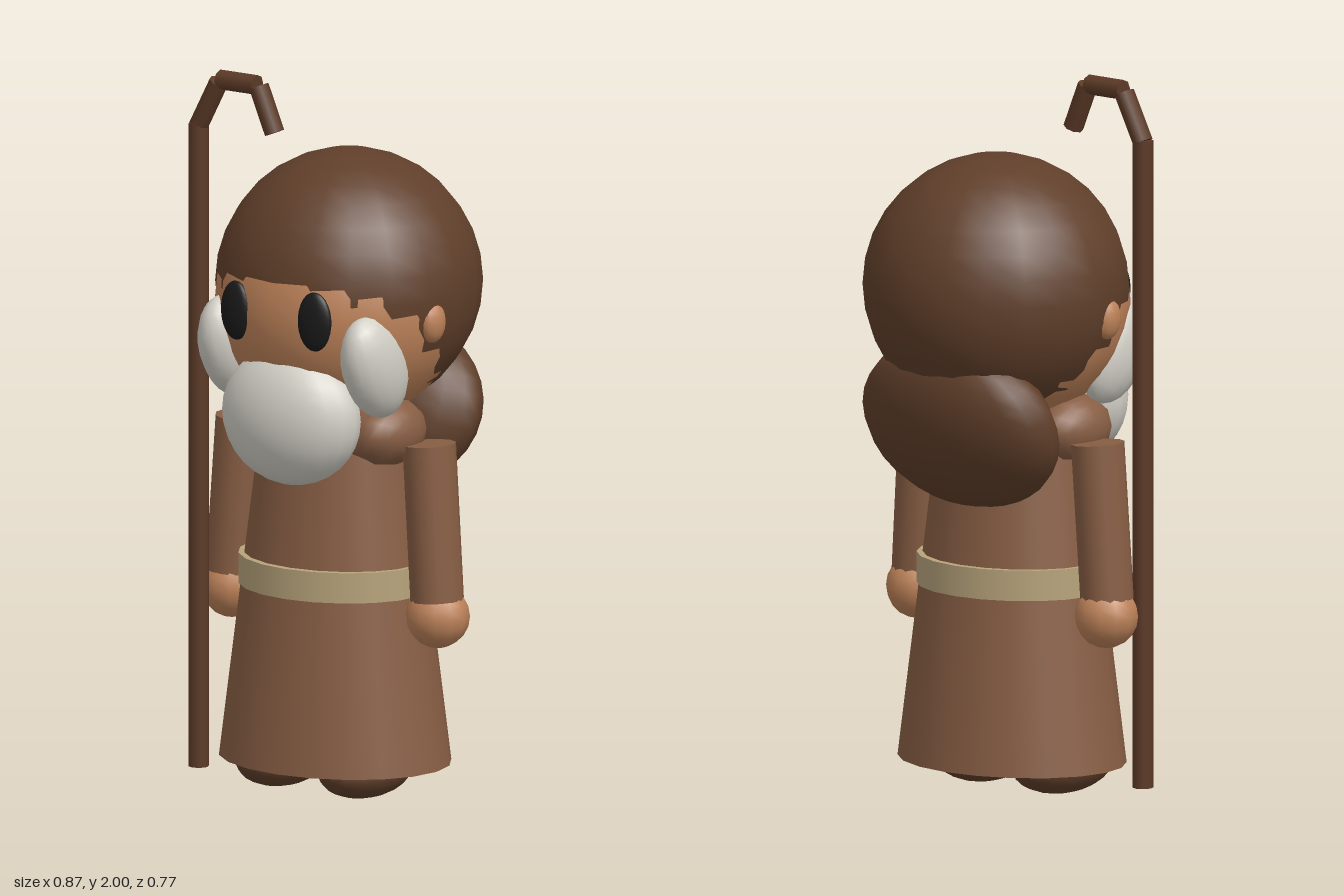
import * as THREE from 'three';

const mat = (name, color) => {
  const m = new THREE.MeshStandardMaterial({ color });
  m.name = name;
  return m;
};

export function createModel() {
  const cloth = mat('robe brown', 0x885e44);
  const hair = mat('hair brown', 0x603f2a);
  const wood = mat('wood brown', 0x5c3a26);
  const skin = mat('skin', 0xbd8259);
  const white = mat('beard white', 0xd2cfc6);
  const tan = mat('belt tan', 0xb8a47c);
  const black = mat('eye black', 0x1a1a1a);

  const model = new THREE.Group();
  const add = (name, geometry, material, pos = [0, 0, 0], rot = [0, 0, 0], scale = [1, 1, 1]) => {
    const mesh = new THREE.Mesh(geometry, material);
    mesh.name = name;
    mesh.position.set(...pos);
    mesh.rotation.set(...rot);
    mesh.scale.set(...scale);
    model.add(mesh);
    return mesh;
  };
  const ball = (name, material, pos, radii, rot, seg = 20) =>
    add(name, new THREE.SphereGeometry(1, seg, Math.round(seg * 0.8)), material, pos, rot, radii);
  // Straight rod between two points
  const rod = (name, material, a, b, r, seg) => {
    const p = new THREE.Vector3(...a), q = new THREE.Vector3(...b);
    const mesh = add(name, new THREE.CylinderGeometry(r, r, p.distanceTo(q), seg), material);
    mesh.position.copy(p).add(q).multiplyScalar(0.5);
    mesh.quaternion.setFromUnitVectors(new THREE.Vector3(0, 1, 0), q.sub(p).normalize());
  };

  // Robe, belt and rounded shoulders
  add('robe', new THREE.CylinderGeometry(0.22, 0.34, 0.92, 20), cloth, [0, 0.545, 0.047], [0, 0, 0], [1, 1, 0.82]);
  add('belt', new THREE.CylinderGeometry(0.28, 0.28, 0.085, 20), tan, [0, 0.613, 0.047], [0, 0, 0], [1, 1, 0.85]);
  add('shoulders', new THREE.CapsuleGeometry(0.095, 0.39, 6, 12), cloth,
    [0, 1.03, 0.073], [0, 0, Math.PI / 2], [1, 1, 1.35]);

  // Head; the hair ball and face ball meet at a sloping hairline
  ball('face', skin, [0, 1.371, 0.02], [0.349, 0.339, 0.339]);
  ball('hair', hair, [0, 1.415, -0.02], [0.368, 0.368, 0.368]);
  ball('backHair', hair, [0, 1.05, -0.165], [0.33, 0.25, 0.15], [-0.36, 0, 0]);
  ball('beard', white, [0, 1.082, 0.255], [0.215, 0.193, 0.132]);

  // Mirrored parts
  for (const [side, s] of [['left', 1], ['right', -1]]) {
    ball(side + 'Eye', black, [s * 0.132, 1.375, 0.332], [0.052, 0.083, 0.022], [0, s * 0.12, 0], 16);
    ball(side + 'Ear', skin, [s * 0.337, 1.352, 0.06], [0.032, 0.058, 0.045], [0, 0, 0], 12);
    ball(side + 'Whisker', white, [s * 0.24, 1.24, 0.2], [0.075, 0.16, 0.11], [0.5, 0, 0], 16);
    rod(side + 'Sleeve', cloth, [s * 0.315, 1.005, 0.045], [s * 0.345, 0.57, 0.05], 0.074, 12);
    ball(side + 'Hand', skin, [s * 0.345, 0.525, 0.047], [0.089, 0.089, 0.089], [0, 0, 0], 12);
    ball(side + 'Foot', hair, [s * 0.138, 0.08, 0.097], [0.11, 0.08, 0.17], [0, 0, 0], 16);
  }

  // Staff with a crook of three short rods
  const z = 0.165;
  rod('staff', wood, [-0.375, 0.033, z], [-0.375, 1.84, z], 0.029, 8);
  rod('crookRise', wood, [-0.375, 1.835, z], [-0.307, 1.965, z], 0.028, 8);
  rod('crookTop', wood, [-0.303, 1.972, z], [-0.178, 1.972, z], 0.028, 8);
  rod('crookTip', wood, [-0.173, 1.97, z], [-0.12, 1.845, z], 0.028, 8);
  return model;
}
